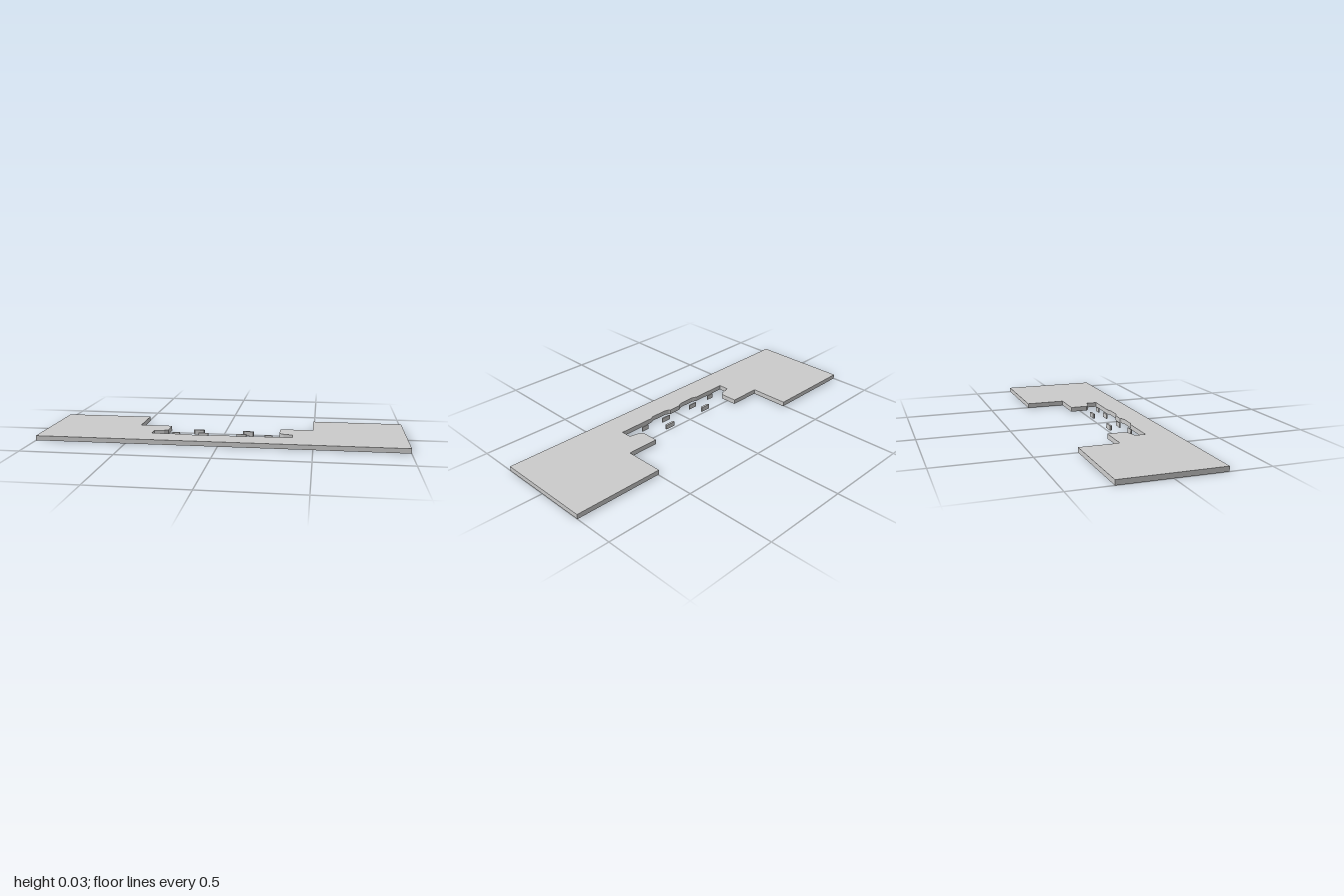
import * as THREE from 'three';

const HEIGHT = 0.026;

// Extrudes a plan outline of [x, z] points upward from y = 0
function slab(points, name) {
  const shape = new THREE.Shape(points.map(([x, z]) => new THREE.Vector2(x, -z)));
  const geometry = new THREE.ExtrudeGeometry(shape, { depth: HEIGHT, bevelEnabled: false });
  geometry.rotateX(-Math.PI / 2);
  const mesh = new THREE.Mesh(geometry, new THREE.MeshStandardMaterial({ color: 0xcccccc, flatShading: true }));
  mesh.name = name;
  return mesh;
}

export function createModel() {
  const group = new THREE.Group();
  group.name = 'cutoutPlate';

  // Left half of the plate outline, from the front corner to the notch centre
  const half = [
    [1, 0.275], [1, -0.275], [0.494, -0.275], [0.494, -0.055],
    [0.312, -0.055], [0.312, 0.042], [0.335, 0.059], [0.387, 0.07],
    [0.387, 0.129], [0.178, 0.129], [0.16, 0.139], [0.065, 0.139],
    [0.044, 0.132], [0.036, 0.124],
  ];
  const mirrored = half.map(([x, z]) => [-x, z]).reverse();
  group.add(slab([...half, ...mirrored], 'plate'));

  // Small loose blocks inside the notch: centre x, centre z, width, depth
  const blocks = [
    ['backBlock', 0.139, 0.02, 0.06, 0.012],
    ['middleBlock', 0.106, 0.087, 0.056, 0.007],
    ['outerBlock', 0.257, 0.094, 0.043, 0.007],
  ];
  for (const [name, cx, cz, w, d] of blocks) {
    for (const side of [1, -1]) {
      const x = cx * side, c = d * 0.35;
      group.add(slab([
        [x - w / 2, cz - d / 2], [x + w / 2, cz - d / 2],
        [x + w / 2, cz + d / 2 - c], [x + w / 2 - c, cz + d / 2],
        [x - w / 2 + c, cz + d / 2], [x - w / 2, cz + d / 2 - c],
      ], name + (side > 0 ? 'Left' : 'Right')));
    }
  }
  return group;
}
